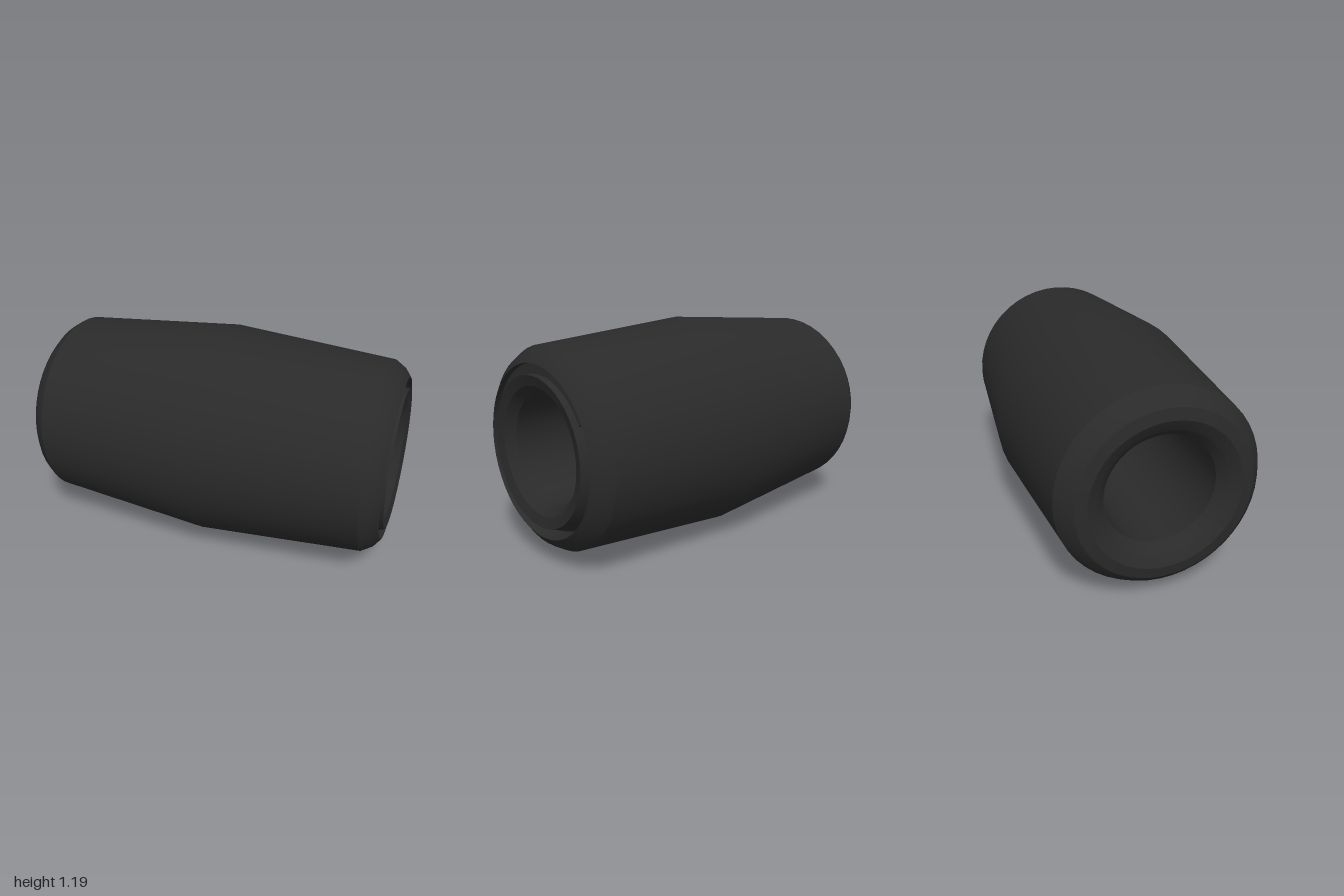
import * as THREE from 'three';
import { toCreasedNormals } from 'three/addons/utils/BufferGeometryUtils.js';

const SEGMENTS = 48;
const CENTRE_Y = 0.595;

// Closed ring profile as [position along the axis, radius]; only the end groove varies
function profile(groove) {
  return [
    [-0.92, 0.287], [-0.97, 0.33], [-1, 0.39], [-0.99, 0.45], [-0.955, 0.49], [-0.9, 0.525],
    [0, 0.595],
    [0.9, 0.525], [0.955, 0.49], [0.99, 0.443],
    ...groove,
    [1, 0.385], [0.985, 0.33], [0.94, 0.287], [-0.92, 0.287],
  ].map(([x, r]) => new THREE.Vector2(r, x));
}

// Lathe turned so that its axis lies along x
const turn = (points) => new THREE.LatheGeometry(points, SEGMENTS).rotateZ(-Math.PI / 2);

export function createModel() {
  const group = new THREE.Group();
  group.name = 'bead';

  const shallowProfile = profile([[0.96, 0.44], [0.965, 0.387]]);
  const geometry = turn(shallowProfile);
  const deep = turn(profile([[0.9, 0.428], [0.9, 0.42]]));

  // The groove steps down to its deep section around the lower half of the end
  const pos = geometry.attributes.position;
  const count = shallowProfile.length;
  for (let i = 0; i < pos.count; i++) {
    const phi = Math.floor(i / count) / SEGMENTS * Math.PI * 2;
    const y = -0.42 * Math.sin(phi), z = 0.42 * Math.cos(phi);
    if (y < 0.13 - 0.1375 * z) {
      pos.setXYZ(i, deep.attributes.position.getX(i), deep.attributes.position.getY(i), deep.attributes.position.getZ(i));
    }
  }

  const body = new THREE.Mesh(
    toCreasedNormals(geometry, 0.4),
    new THREE.MeshStandardMaterial({ color: 0x2a2a2a }),
  );
  body.name = 'barrelBody';
  body.position.y = CENTRE_Y;
  group.add(body);
  return group;
}
